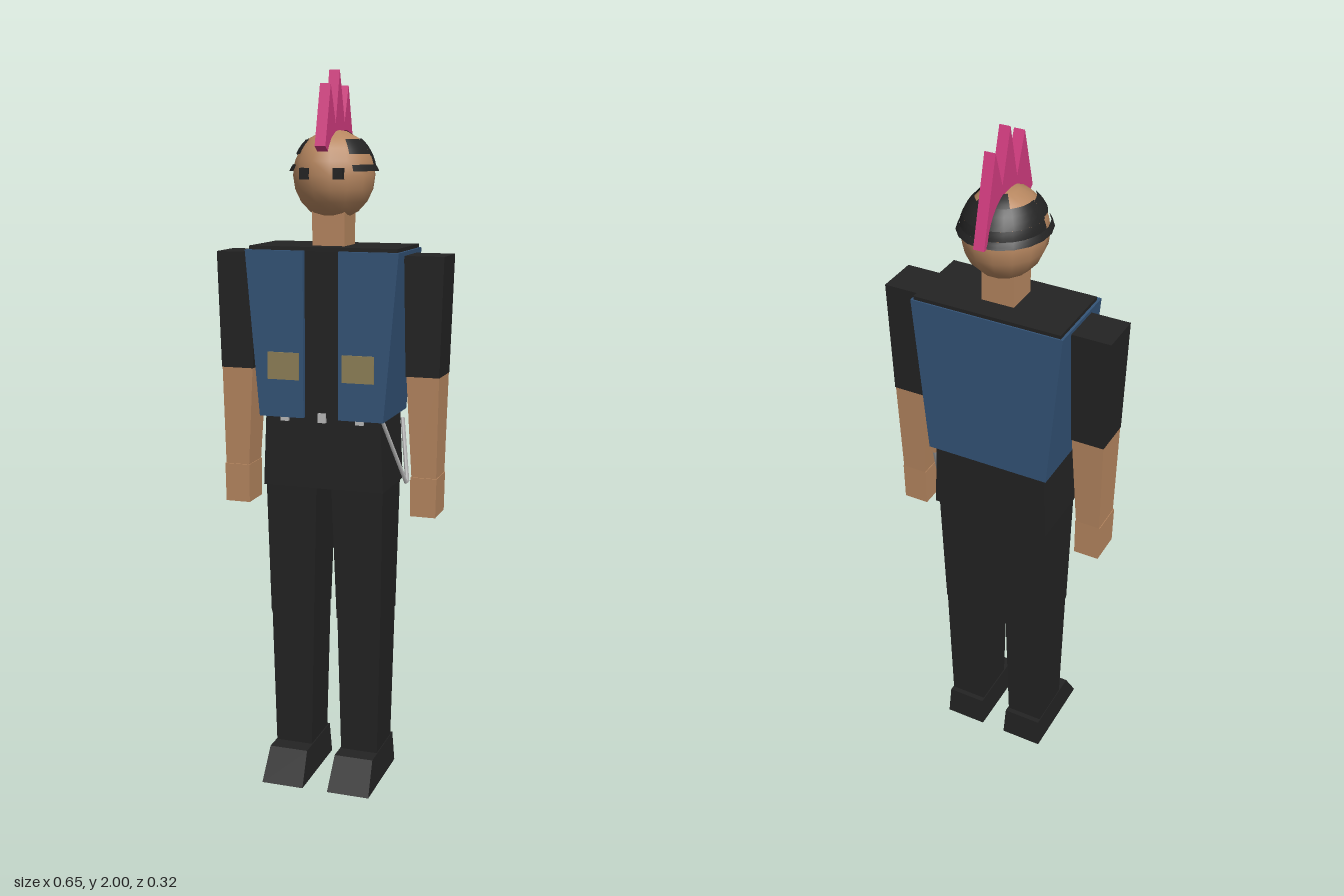
import * as THREE from 'three';

const material = (name, color, side = THREE.FrontSide) => {
  const m = new THREE.MeshStandardMaterial({ color, side });
  m.name = name;
  return m;
};

export function createModel() {
  const black = material('black cloth and hair', 0x232323, THREE.DoubleSide);
  const denim = material('blue denim', 0x345478);
  const skin = material('skin', 0xb78760);
  const pink = material('pink hair', 0xd33c80);
  const tan = material('tan pocket', 0x908158);
  const silver = material('silver', 0xbcbcbc);

  const model = new THREE.Group();
  model.name = 'figure';
  const add = (name, geometry, mat) => {
    const mesh = new THREE.Mesh(geometry, mat);
    mesh.name = name;
    model.add(mesh);
    return mesh;
  };

  // Tapered block: bottom and top rectangles given as [x0, x1, z0, z1]
  const block = (name, mat, y0, y1, bottom, top = bottom) => {
    const g = new THREE.BoxGeometry(1, 1, 1);
    const p = g.attributes.position;
    for (let i = 0; i < p.count; i++) {
      const r = p.getY(i) > 0 ? top : bottom;
      p.setXYZ(i, p.getX(i) > 0 ? r[1] : r[0], p.getY(i) > 0 ? y1 : y0, p.getZ(i) > 0 ? r[3] : r[2]);
    }
    g.computeVertexNormals();
    return add(name, g, mat);
  };
  // The same block on the left (+x) and mirrored to the right
  const flip = (r) => [-r[1], -r[0], r[2], r[3]];
  const pair = (name, mat, y0, y1, bottom, top = bottom) => {
    block('left ' + name, mat, y0, y1, bottom, top);
    block('right ' + name, mat, y0, y1, flip(bottom), flip(top));
  };

  // Legs and shoes
  pair('shoe', black, 0, 0.09, [0.037, 0.16, -0.107, 0.16], [0.042, 0.155, -0.1, 0.105]);
  pair('shin', black, 0.09, 0.49, [0.045, 0.153, -0.085, 0.055], [0.035, 0.162, -0.088, 0.06]);
  pair('thigh', black, 0.49, 0.87, [0.034, 0.163, -0.09, 0.064], [0.022, 0.17, -0.1, 0.075]);
  block('hips', black, 0.87, 1.08, [-0.174, 0.174, -0.115, 0.085], [-0.165, 0.165, -0.112, 0.085]);

  // Shirt and sleeveless vest
  block('shirt', black, 1.07, 1.525, [-0.165, 0.165, -0.115, 0.087], [-0.205, 0.205, -0.115, 0.087]);
  block('shoulders', black, 1.525, 1.536, [-0.21, 0.21, -0.126, 0.088]);
  block('vest back', denim, 1.07, 1.526, [-0.178, 0.178, -0.13, -0.114], [-0.217, 0.217, -0.13, -0.114]);
  pair('vest side', denim, 1.07, 1.526, [0.163, 0.178, -0.13, 0.102], [0.203, 0.217, -0.13, 0.102]);
  pair('vest front', denim, 1.07, 1.526, [0.05, 0.178, 0.085, 0.102], [0.05, 0.217, 0.085, 0.102]);
  pair('vest pocket', tan, 1.175, 1.25, [0.062, 0.152, 0.1, 0.106]);

  // Belt studs
  for (const x of [-0.108, 0, 0.108]) {
    block('belt stud', silver, 1.058, 1.084, [x - 0.011, x + 0.011, 0.084, 0.095]);
  }

  // Hip chain hanging on the left
  const chain = new THREE.CurvePath();
  const [front, low, back] = [[0.17, 1.07, 0.08], [0.215, 0.87, -0.02], [0.172, 1.045, -0.115]]
    .map((p) => new THREE.Vector3(...p));
  chain.add(new THREE.LineCurve3(front, low));
  chain.add(new THREE.LineCurve3(low, back));
  add('hip chain', new THREE.TubeGeometry(chain, 16, 0.006, 4), silver);

  // Arms
  pair('sleeve', black, 1.19, 1.515, [0.222, 0.316, -0.073, 0.04], [0.215, 0.325, -0.078, 0.042]);
  pair('forearm', skin, 0.91, 1.19, [0.24, 0.31, -0.06, 0.033], [0.224, 0.315, -0.071, 0.038]);
  pair('hand', skin, 0.8, 0.91, [0.238, 0.31, -0.06, 0.037], [0.238, 0.312, -0.06, 0.037]);

  // Neck, head and eyes
  const C = new THREE.Vector3(0, 1.724, -0.017);
  const R = 0.121;
  block('neck', skin, 1.53, 1.64, [-0.046, 0.046, -0.06, 0.035]);
  const head = add('head', new THREE.SphereGeometry(R, 14, 10), skin);
  head.scale.x = 0.92;
  head.position.copy(C);
  pair('eye', black, 1.714, 1.744, [0.034, 0.06, 0.07, 0.1]);

  // Cropped hair: strips of a shell, angles measured from the back of the head
  const hair = (name, y0, y1, a0, a1, flare = 0) => {
    const n = 14, rows = 3, pos = [], index = [];
    for (let j = 0; j <= rows; j++) {
      const y = y0 + (y1 - y0) * j / rows;
      const r = Math.sqrt((R + 0.004) ** 2 - (y - C.y) ** 2) + flare * (1 - j / rows);
      for (let i = 0; i <= n; i++) {
        const a = THREE.MathUtils.degToRad(a0 + (a1 - a0) * i / n);
        pos.push(0.92 * r * Math.sin(a), y, C.z - r * Math.cos(a));
        if (i < n && j < rows) {
          const k = j * (n + 1) + i;
          index.push(k, k + n + 1, k + 1, k + 1, k + n + 1, k + n + 2);
        }
      }
    }
    const g = new THREE.BufferGeometry();
    g.setAttribute('position', new THREE.Float32BufferAttribute(pos, 3));
    g.setIndex(index);
    g.computeVertexNormals();
    add(name, g, black);
  };
  hair('lower hair', 1.735, 1.752, -136, 136, 0.007);
  hair('middle hair', 1.752, 1.776, -92, 92);
  hair('upper hair', 1.776, 1.82, -95, 95);
  hair('left temple hair', 1.78, 1.818, 95, 138);
  hair('right temple hair', 1.78, 1.818, -138, -95);
  hair('crown hair', 1.82, 1.842, -38, 38);

  // Three-spiked crest, drawn as (z, y) and extruded across x
  const crest = new THREE.Shape([
    [0.103, 1.8], [0.058, 1.962], [0.017, 1.86], [-0.018, 2], [-0.06, 1.865], [-0.094, 1.962],
    [-0.157, 1.733], [-0.125, 1.735], [-0.08, 1.81], [0, 1.825], [0.08, 1.785],
  ].map(([z, y]) => new THREE.Vector2(-z, y)));
  const crestGeometry = new THREE.ExtrudeGeometry(crest, { depth: 0.03, bevelEnabled: false });
  crestGeometry.translate(0, 0, -0.015).rotateY(Math.PI / 2);
  add('crest', crestGeometry, pink);

  return model;
}
